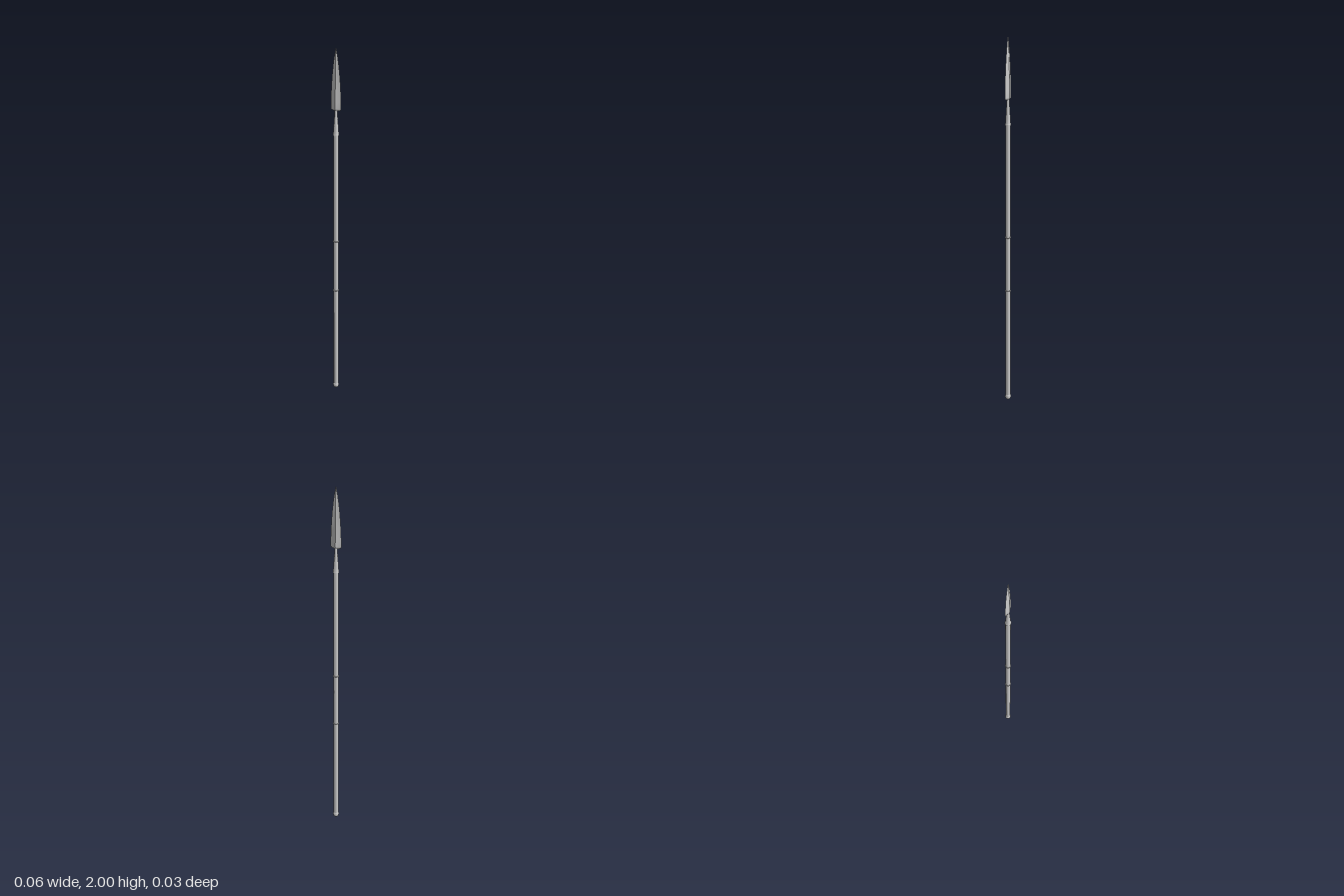
import * as THREE from 'three';
import { toCreasedNormals } from 'three/addons/utils/BufferGeometryUtils.js';

const material = new THREE.MeshStandardMaterial({ color: 0xcccccc });

function add(group, name, geometry) {
  const mesh = new THREE.Mesh(toCreasedNormals(geometry, 0.6), material);
  mesh.name = name;
  group.add(mesh);
}

// Turned part from [radius, height] pairs, listed bottom to top
function turned(profile, sides = 16) {
  return new THREE.LatheGeometry(profile.map(([r, y]) => new THREE.Vector2(r, y)), sides);
}

// Blade lofted through ridged diamond sections of [y, half width, half thickness]
function bladeGeometry(sections) {
  const outline = [[1, 0], [0.4, 0.5], [0, 1], [-0.4, 0.5], [-1, 0], [-0.4, -0.5], [0, -1], [0.4, -0.5]];
  const n = outline.length;
  const positions = [];
  const index = [];
  for (const [y, w, t] of sections) {
    for (const [x, z] of outline) positions.push(x * w, y, z * t);
  }
  for (let s = 0; s < sections.length - 1; s++) {
    for (let i = 0; i < n; i++) {
      const a = s * n + i, b = s * n + (i + 1) % n;
      index.push(a, a + n, b, b, a + n, b + n);
    }
  }
  const geometry = new THREE.BufferGeometry();
  geometry.setAttribute('position', new THREE.Float32BufferAttribute(positions, 3));
  geometry.setIndex(index);
  return geometry;
}

export function createModel() {
  const spear = new THREE.Group();
  spear.name = 'spear';

  // Shaft
  add(spear, 'shaft', turned([[0, 0.01], [0.0135, 0.01], [0.0135, 1.55], [0, 1.55]]));

  // Rounded butt cap
  add(spear, 'buttCap', turned([
    [0, 0], [0.01, 0], [0.0145, 0.005], [0.0165, 0.014], [0.0155, 0.023], [0.0135, 0.028],
  ]));

  // Thin rings marking the grip
  for (const [name, y] of [['lowerGripRing', 0.637], ['upperGripRing', 0.937]]) {
    add(spear, name, turned([
      [0.013, y - 0.004], [0.0155, y - 0.003], [0.0165, y], [0.0155, y + 0.003], [0.013, y + 0.004],
    ]));
  }

  // Socket flaring down over the shaft, with a rim at its mouth
  add(spear, 'socket', turned([
    [0.013, 1.54], [0.016, 1.541], [0.0165, 1.545], [0.0145, 1.549], [0.0125, 1.58],
    [0.01, 1.62], [0.008, 1.65], [0.0075, 1.68], [0.006, 1.7], [0, 1.72],
  ]));

  // Leaf-shaped blade
  add(spear, 'blade', bladeGeometry([
    [1.672, 0, 0], [1.673, 0.018, 0.007], [1.677, 0.026, 0.0095], [1.684, 0.029, 0.0105],
    [1.72, 0.0283, 0.0098], [1.77, 0.0263, 0.0088], [1.82, 0.0235, 0.0076],
    [1.87, 0.0195, 0.0063], [1.92, 0.0138, 0.0046], [1.96, 0.008, 0.003], [2, 0, 0],
  ]));

  return spear;
}
